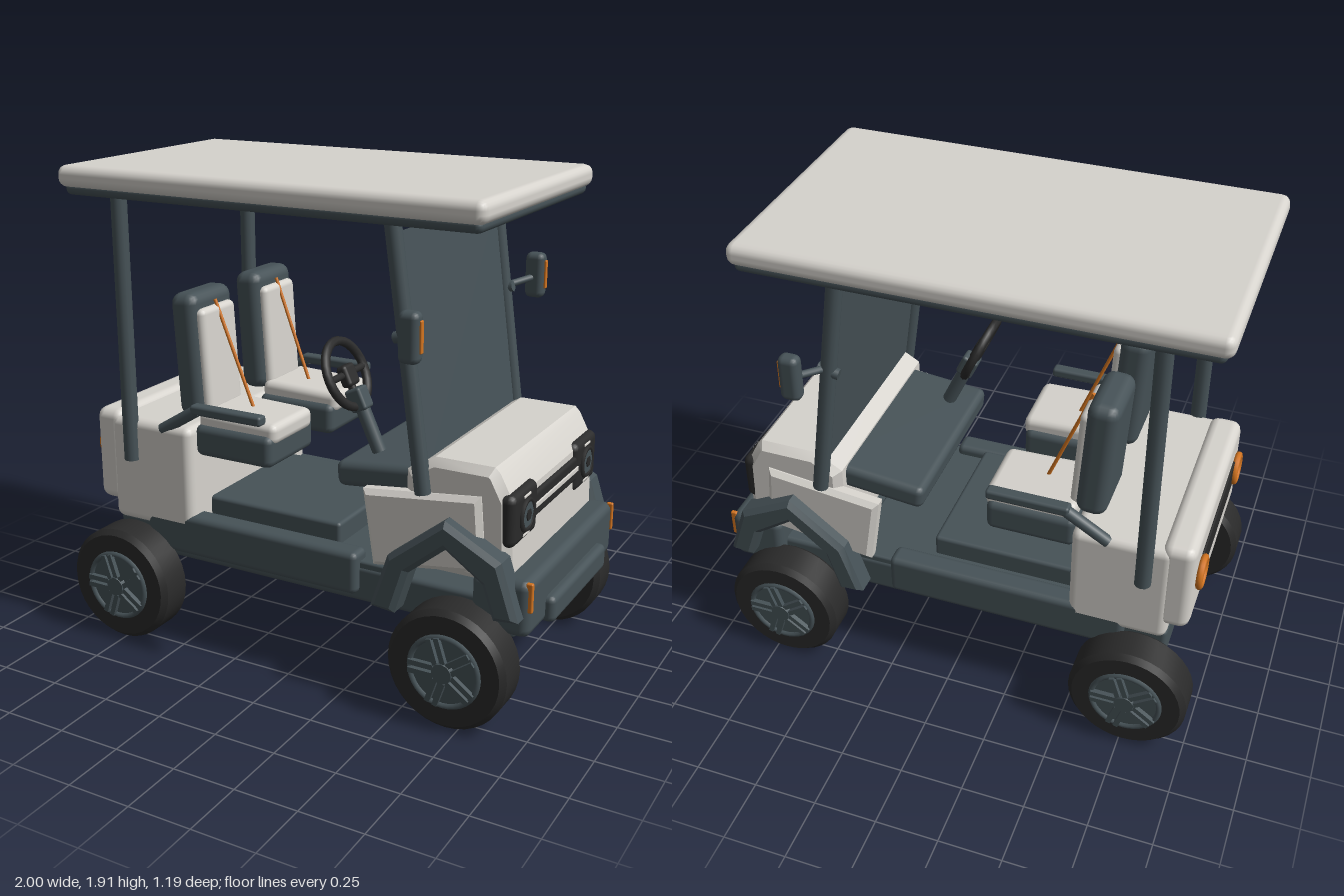
import * as THREE from 'three';
import { toCreasedNormals } from 'three/addons/utils/BufferGeometryUtils.js';
import { RoundedBoxGeometry } from 'three/addons/geometries/RoundedBoxGeometry.js';

const mat = (name, color) => Object.assign(new THREE.MeshStandardMaterial({ color }), { name });

export function createModel() {
  const cart = new THREE.Group();
  cart.name = 'golfCart';
  const white = mat('offWhite', 0xd6d3cd);
  const slate = mat('slate', 0x465257);
  const black = mat('black', 0x2a2a2a);
  const orange = mat('orange', 0xd27420);

  const add = (name, geo, material, x = 0, y = 0, z = 0, parent = cart) => {
    const m = new THREE.Mesh(geo, material);
    m.name = name;
    m.position.set(x, y, z);
    parent.add(m);
    return m;
  };
  // Softened box given by its limits on each axis, tilted about z
  const box = (name, material, [x0, x1], [y0, y1], [z0, z1], r = 0.02, tilt = 0, parent = cart) => {
    const d = [x1 - x0, y1 - y0, z1 - z0];
    const geo = new RoundedBoxGeometry(...d, 2, Math.min(r, Math.min(...d) * 0.49));
    const m = add(name, geo, material, (x0 + x1) / 2, (y0 + y1) / 2, (z0 + z1) / 2, parent);
    m.rotation.z = tilt;
    return m;
  };
  // Round bar between two points
  const bar = (name, material, a, b, r, parent = cart) => {
    const A = new THREE.Vector3(...a), B = new THREE.Vector3(...b);
    const dir = B.clone().sub(A);
    const m = add(name, new THREE.CylinderGeometry(r, r, dir.length(), 12), material, 0, 0, 0, parent);
    m.position.copy(A).add(B).multiplyScalar(0.5);
    m.quaternion.setFromUnitVectors(new THREE.Vector3(0, 1, 0), dir.normalize());
    return m;
  };
  // Side outline extruded across z between z0 and z1, with bevelled rims
  const slab = (name, material, pts, z0, z1, bevel) => {
    const shape = new THREE.Shape(pts.map(p => new THREE.Vector2(...p)));
    const geo = new THREE.ExtrudeGeometry(shape, {
      depth: z1 - z0 - 2 * bevel, bevelEnabled: true, bevelSize: bevel, bevelOffset: -bevel,
      bevelThickness: bevel, bevelSegments: 1,
    });
    geo.translate(0, 0, z0 + bevel);
    return add(name, toCreasedNormals(geo, 0.4), material);
  };

  // Chassis, floor and sills
  box('chassis', slate, [-0.87, 0.9], [0.335, 0.48], [-0.405, 0.405]);
  box('floor', slate, [-0.5, 0.45], [0.44, 0.5], [-0.4, 0.4], 0.01);
  box('floorMat', slate, [-0.52, 0.12], [0.48, 0.585], [-0.3, 0.3], 0.015);

  // Roof
  box('roofShell', white, [-1, 0.785], [1.83, 1.915], [-0.525, 0.525], 0.035);
  box('roofLiner', slate, [-0.975, 0.765], [1.8, 1.85], [-0.505, 0.505], 0.024);

  // Rear body with lamp panel
  box('rearBody', white, [-0.87, -0.48], [0.47, 0.91], [-0.44, 0.44], 0.035);
  box('rearPanel', white, [-0.95, -0.82], [0.54, 0.93], [-0.435, 0.435], 0.04);
  box('rearGrille', black, [-0.958, -0.94], [0.7, 0.82], [-0.29, 0.29], 0.005);

  // Hood, dashboard, grille and bumper
  slab('hood', white, [[0.46, 0.54], [0.88, 0.54], [0.87, 0.86], [0.82, 0.955], [0.8, 0.975], [0.57, 0.975],
    [0.46, 0.91]], -0.43, 0.43, 0.03);
  box('dashboard', slate, [0.14, 0.56], [0.79, 0.89], [-0.37, 0.37], 0.03, 0.1);
  box('grilleBar', black, [0.84, 0.885], [0.735, 0.835], [-0.22, 0.22], 0.015);
  box('grilleStrip', white, [0.882, 0.89], [0.775, 0.795], [-0.22, 0.22], 0.003);
  box('frontBumper', slate, [0.74, 0.965], [0.365, 0.585], [-0.45, 0.45], 0.035);
  box('bumperBar', slate, [0.93, 1], [0.365, 0.47], [-0.285, 0.285], 0.025);

  // Windscreen between the sloped front posts
  const lean = Math.atan2(0.13, 0.95);
  const screen = add('windscreen', new THREE.BoxGeometry(0.012, 0.9, 0.85), slate, 0.477, 1.32, 0);
  screen.rotation.z = lean;

  // Wheel shapes shared by all four corners
  const tyreGeo = toCreasedNormals(new THREE.LatheGeometry([[0.135, -0.082], [0.215, -0.082], [0.235, -0.06],
    [0.235, 0.06], [0.215, 0.082], [0.135, 0.082]].map(p => new THREE.Vector2(...p)), 36).rotateX(Math.PI / 2), 0.4);
  const discGeo = new THREE.CylinderGeometry(0.14, 0.14, 0.166, 36).rotateX(Math.PI / 2);
  const hubGeo = new THREE.CylinderGeometry(0.04, 0.045, 0.03, 10).rotateX(Math.PI / 2);
  const spokeGeo = new THREE.BoxGeometry(0.1, 0.02, 0.024);
  const rimGeo = new THREE.TorusGeometry(0.135, 0.011, 6, 36);
  const wheel = (x, s) => {
    const g = new THREE.Group();
    g.name = 'wheel';
    g.position.set(x, 0.235, s * 0.492);
    if (s < 0) g.rotation.y = Math.PI;
    cart.add(g);
    add('tyre', tyreGeo, black, 0, 0, 0, g);
    add('rimDisc', discGeo, slate, 0, 0, 0, g);
    add('rimEdge', rimGeo, slate, 0, 0, 0.083, g);
    add('hub', hubGeo, slate, 0, 0, 0.09, g);
    for (let i = 0; i < 5; i++) {
      const a = Math.PI + i * Math.PI * 0.4;
      for (const o of [-0.016, 0.016]) {
        const spoke = add('spoke', spokeGeo, slate, 0.085 * Math.cos(a) - o * Math.sin(a),
          0.085 * Math.sin(a) + o * Math.cos(a), 0.09, g);
        spoke.rotation.z = a;
      }
    }
  };

  // Everything mirrored on both sides
  for (const s of [1, -1]) {
    const span = (a, b) => (s > 0 ? [a, b] : [-b, -a]);
    wheel(-0.765, s);
    wheel(0.7, s);
    box('sill', slate, [-0.705, 0.265], [0.37, 0.54], span(0.34, 0.44), 0.025);
    slab('sidePanel', white, [[0.34, 0.52], [0.79, 0.585], [0.765, 0.87], [0.295, 0.815]],
      ...span(0.38, 0.455), 0.02);
    slab('frontFender', slate, [[0.36, 0.385], [0.46, 0.375], [0.515, 0.55], [0.66, 0.67], [0.805, 0.57],
      [0.85, 0.44], [0.945, 0.45], [0.875, 0.665], [0.655, 0.78], [0.43, 0.6]], ...span(0.4, 0.515), 0.02);

    // Roof posts
    bar('rearPost', slate, [-0.765, 0.74, s * 0.44], [-0.765, 1.82, s * 0.44], 0.032);
    bar('frontPost', slate, [0.54, 0.84, s * 0.435], [0.405, 1.82, s * 0.435], 0.031);

    // Mirror
    bar('mirrorClip', slate, [0.42, 1.4, s * 0.435], [0.5, 1.42, s * 0.44], 0.022);
    bar('mirrorArm', slate, [0.47, 1.42, s * 0.44], [0.54, 1.44, s * 0.55], 0.014);
    box('mirror', slate, [0.505, 0.585], [1.355, 1.54], span(0.535, 0.597), 0.025);
    box('mirrorMarker', orange, [0.582, 0.592], [1.395, 1.51], span(0.556, 0.576), 0.004);

    // Seat: base, cushion, backrest, belt and armrest
    box('seatBase', slate, [-0.485, -0.13], [0.79, 0.92], span(0.07, 0.4), 0.03);
    box('seatCushion', white, [-0.48, -0.12], [0.885, 0.97], span(0.09, 0.38), 0.03, -0.03);
    box('backrest', slate, [-0.6, -0.478], [0.93, 1.43], span(0.085, 0.365), 0.045, 0.06);
    box('backCushion', white, [-0.52, -0.452], [0.95, 1.37], span(0.11, 0.34), 0.025, 0.06);
    bar('seatBelt', orange, [-0.485, 1.39, s * 0.225], [-0.32, 0.96, s * 0.215], 0.007);
    bar('armrestStrut', slate, [-0.62, 0.885, s * 0.42], [-0.45, 0.99, s * 0.42], 0.024);
    box('armrest', slate, [-0.47, -0.145], [0.975, 1.015], span(0.395, 0.445), 0.012);

    // Headlamp
    box('lampPanel', black, [0.815, 0.888], [0.685, 0.885], span(0.195, 0.428), 0.03);
    const ring = add('lampRing', new THREE.TorusGeometry(0.055, 0.011, 6, 24), black, 0.888, 0.785, s * 0.31);
    ring.rotation.y = Math.PI / 2;
    const lens = add('lampLens', new THREE.CylinderGeometry(0.05, 0.05, 0.02, 6), slate, 0.885, 0.785, s * 0.31);
    lens.rotation.z = Math.PI / 2;
    const bulb = add('lampBulb', new THREE.CylinderGeometry(0.022, 0.022, 0.012, 6), black, 0.893, 0.785, s * 0.31);
    bulb.rotation.z = Math.PI / 2;
    for (const y of [0.858, 0.712]) {
      box('lampDash', white, [0.884, 0.891], [y - 0.005, y + 0.005], span(0.28, 0.34), 0.003);
    }
    box('frontIndicator', orange, [0.945, 0.972], [0.468, 0.582], span(0.42, 0.438), 0.006);

    // Rear lamp
    const rearRing = add('rearLampRing', new THREE.TorusGeometry(0.056, 0.014, 8, 24), orange, -0.962, 0.76, s * 0.325);
    rearRing.rotation.y = Math.PI / 2;
    const rearLens = add('rearLamp', new THREE.CylinderGeometry(0.05, 0.05, 0.03, 24), black, -0.952, 0.76, s * 0.325);
    rearLens.rotation.z = Math.PI / 2;
  }

  // Steering wheel and column
  const steering = new THREE.Group();
  steering.name = 'steering';
  steering.position.set(0.11, 1.17, 0.225);
  steering.rotation.z = 0.43;
  cart.add(steering);
  const rim = add('steeringRim', new THREE.TorusGeometry(0.13, 0.018, 8, 28), black, 0, 0, 0, steering);
  rim.rotation.y = Math.PI / 2;
  bar('steeringSpoke', black, [0, 0, -0.13], [0, 0, 0.13], 0.014, steering);
  bar('steeringSpoke', black, [0, 0, 0], [0, -0.13, 0], 0.016, steering);
  box('steeringHub', black, [-0.02, 0.025], [-0.05, 0.035], [-0.04, 0.04], 0.015, 0, steering);
  box('columnCover', slate, [-0.025, 0.045], [-0.15, -0.06], [-0.035, 0.035], 0.012, 0, steering);
  bar('column', slate, [0.01, -0.32, 0], [0.01, -0.08, 0], 0.028, steering);

  return cart;
}
